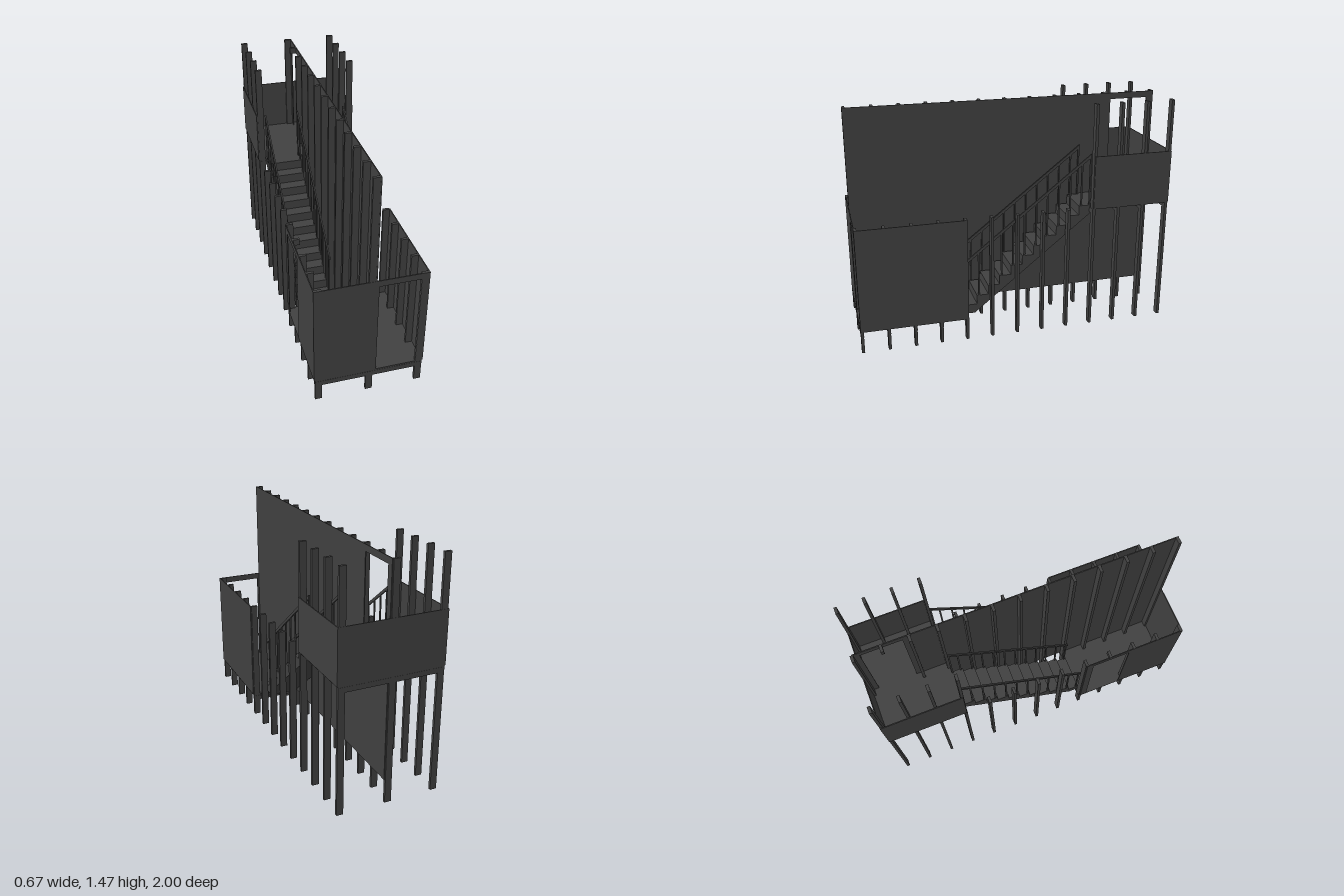
import * as THREE from 'three';

const LOW = 0.15, HIGH = 0.81, TOP = 1.47;   // floor levels and overall height
const RAIL = 1.145, T = 0.006;               // parapet top, panel thickness
const Z0 = 0.33, Z1 = -0.49, STEPS = 11;     // run of the stairs

export function createModel() {
  const model = new THREE.Group();
  const mat = new THREE.MeshStandardMaterial({ color: 0x404040, flatShading: true });

  const add = (geo, name) => {
    const m = new THREE.Mesh(geo, mat);
    m.name = name;
    model.add(m);
    return m;
  };
  // box given by its limits on each axis
  const box = (name, x0, x1, y0, y1, z0, z1) =>
    add(new THREE.BoxGeometry(x1 - x0, y1 - y0, z1 - z0), name)
      .position.set((x0 + x1) / 2, (y0 + y1) / 2, (z0 + z1) / 2);
  // upright panel in the xy plane with an optional door [u0, u1, v0, v1]
  const panelGeo = (u0, u1, v0, v1, door) => {
    const s = new THREE.Shape([[u0, v0], [u1, v0], [u1, v1], [u0, v1]].map(p => new THREE.Vector2(...p)));
    if (door) {
      const [a, b, c, d] = door;
      s.holes.push(new THREE.Path([[a, c], [a, d], [b, d], [b, c]].map(p => new THREE.Vector2(...p))));
    }
    return new THREE.ExtrudeGeometry(s, { depth: T, bevelEnabled: false });
  };
  // panel running along z: the shape's u axis is -z
  const sidePanel = (name, x, z0, z1, v0, v1, door) => {
    const g = panelGeo(-z1, -z0, v0, v1, door && [-door[1], -door[0], door[2], door[3]]);
    g.rotateY(Math.PI / 2);
    add(g, name).position.x = x;
  };

  // posts in three rows, with gaps where doors cut through them
  const post = (x, z, y0, y1) => box('post', x - 0.021, x + 0.021, y0, y1, z - 0.009, z + 0.009);
  for (let i = 0; i < 13; i++) {
    const z = 0.99 - i * 0.165;
    const outerTop = i >= 9 ? TOP : HIGH;
    post(0.309, z, 0, outerTop);
    if (i === 3) {
      post(-0.309, z, 0, LOW - 0.01);
      post(-0.309, z, 0.77, HIGH);
    } else post(-0.309, z, 0, outerTop);
    if (i === 11) {
      post(0, z, 0, HIGH - 0.01);
      post(0, z, 1.43, TOP);
    } else post(0, z, 0, TOP);
    // floor joists under each landing
    if (i < 5) box('lowerJoist', -0.33, 0.33, 0.108, LOW - 0.01, z - 0.01, z + 0.01);
    if (i > 8) box('upperJoist', -0.33, 0.33, 0.768, HIGH - 0.01, z - 0.01, z + 0.01);
  }

  // landing floors
  box('lowerFloor', -0.33, 0.33, LOW - 0.01, LOW, Z0, 0.999);
  box('upperFloor', -0.33, 0.33, HIGH - 0.01, HIGH, -0.999, Z1);

  // tall dividing wall with a doorway on the upper landing
  sidePanel('dividingWall', 0.02, -0.99, 1, LOW, TOP, [-0.95, -0.70, HIGH, 1.43]);

  // walls of the lower room: entrance at the front, exit on the other side
  add(panelGeo(-0.335, 0.335, LOW, HIGH, [0.04, 0.29, LOW + 0.002, 0.77]), 'frontWall').position.z = 1 - T;
  sidePanel('leftRoomWall', 0.33, Z0, 1, LOW, HIGH);
  sidePanel('rightRoomWall', -0.336, Z0, 1, LOW, HIGH, [0.375, 0.625, LOW + 0.002, 0.77]);

  // parapets of the upper landing
  box('backParapet', -0.335, 0.335, HIGH - 0.002, RAIL, -1, -1 + T);
  sidePanel('leftParapet', 0.33, -1, Z1, HIGH - 0.002, RAIL);
  sidePanel('rightParapet', -0.336, -1, Z1, HIGH - 0.002, RAIL);

  // two parallel flights with balustrades on both sides
  const run = (Z0 - Z1) / STEPS, rise = (HIGH - LOW) / STEPS;
  const slope = rise / run;
  for (const [x0, x1] of [[0.042, 0.272], [-0.28, -0.05]]) {
    // stepped top, sloping underside; u axis is -z
    const s = new THREE.Shape();
    s.moveTo(-Z0, LOW);
    for (let i = 0; i < STEPS; i++) {
      s.lineTo(-Z0 + i * run, LOW + (i + 1) * rise);
      s.lineTo(-Z0 + (i + 1) * run, LOW + (i + 1) * rise);
    }
    s.lineTo(-Z1, 0.755);
    s.lineTo(-0.27, LOW);
    const g = new THREE.ExtrudeGeometry(s, { depth: x1 - x0, bevelEnabled: false });
    g.rotateY(Math.PI / 2);
    add(g, 'stairFlight').position.x = x0;

    for (const x of [x0 + 0.005, x1 - 0.005]) {
      // sloping handrail
      const r = new THREE.Shape([[-Z0, 0.485], [-Z1, 1.125], [-Z1, 1.147], [-Z0, 0.507]]
        .map(p => new THREE.Vector2(...p)));
      const rg = new THREE.ExtrudeGeometry(r, { depth: 0.01, bevelEnabled: false });
      rg.rotateY(Math.PI / 2);
      add(rg, 'handrail').position.x = x - 0.005;
      // one baluster per step
      for (let i = 0; i < STEPS; i++) {
        const z = Z0 - (i + 0.2) * run;
        box('baluster', x - 0.004, x + 0.004, LOW + (i + 1) * rise, 0.49 + slope * (Z0 - z) * 0.97,
          z - 0.005, z + 0.005);
      }
      // end baluster at the top landing
      box('baluster', x - 0.004, x + 0.004, HIGH, 1.13, Z1, Z1 + 0.01);
    }
  }
  return model;
}
